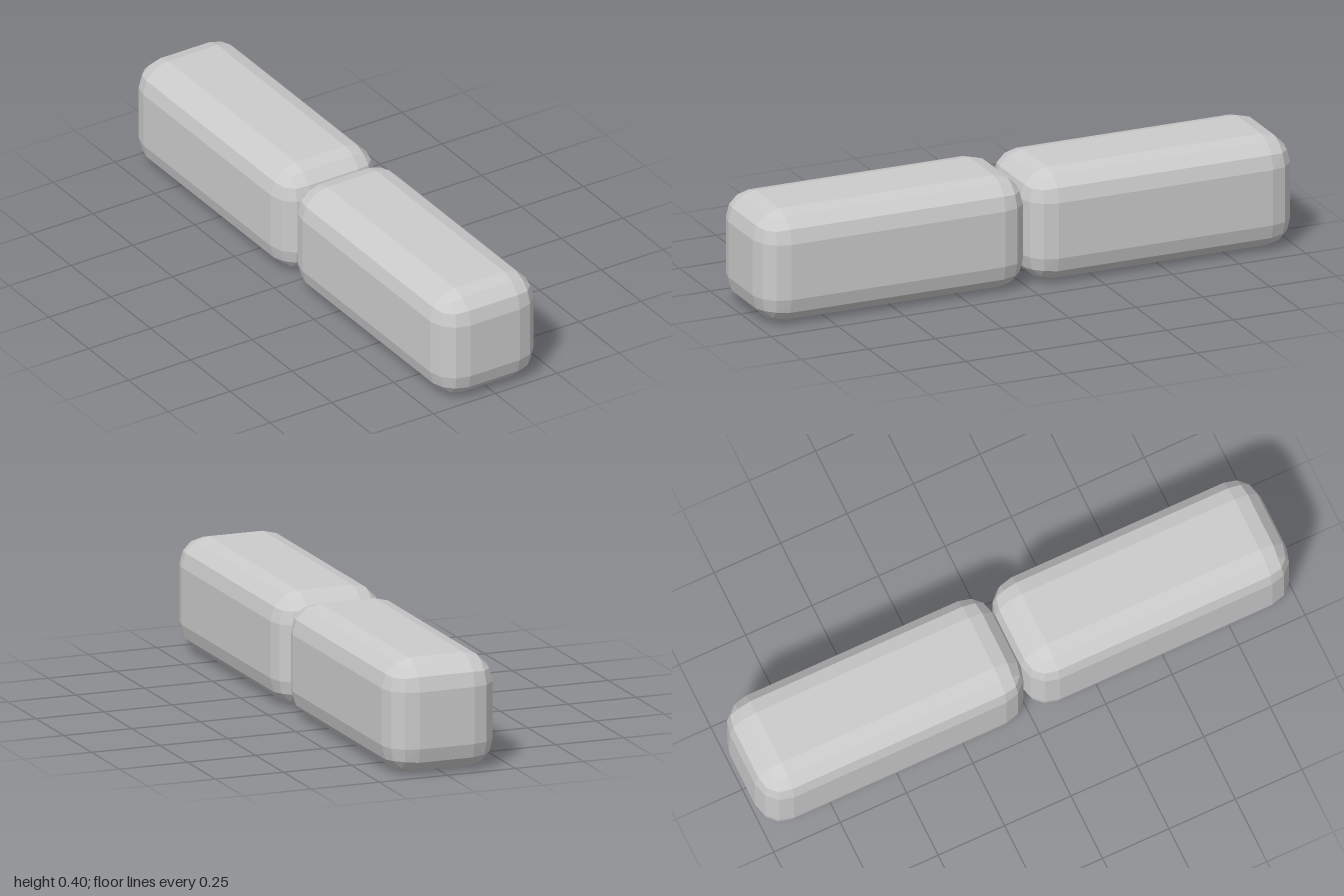
import * as THREE from 'three';
import { ConvexGeometry } from 'three/addons/geometries/ConvexGeometry.js';

const WIDTH = 0.4, HEIGHT = 0.4, LENGTH = 1, BEVEL = 0.1;

// Directions over one rounded corner: three-step arcs along its borders, plus an inner triangle
function cornerDirections() {
  const c = Math.cos(Math.PI / 6), a = 0.46, b = 0.76;
  const pattern = [[0, 0, 1], [0.5, 0, c], [c, 0, 0.5], [a, a, b]];
  const dirs = [];
  for (const [x, y, z] of pattern) {
    dirs.push([x, y, z], [z, x, y], [y, z, x]);
  }
  return dirs;
}

// Box with three-segment bevels, faceted
function bevelledBox(width, height, length, bevel) {
  const half = [width / 2 - bevel, height / 2 - bevel, length / 2 - bevel];
  const points = [];
  for (const sx of [-1, 1]) for (const sy of [-1, 1]) for (const sz of [-1, 1]) {
    for (const [x, y, z] of cornerDirections()) {
      points.push(new THREE.Vector3(
        sx * (half[0] + bevel * x),
        sy * (half[1] + bevel * y),
        sz * (half[2] + bevel * z)));
    }
  }
  return new ConvexGeometry(points);
}

export function createModel() {
  const model = new THREE.Group();
  model.name = 'blockPair';
  const material = new THREE.MeshStandardMaterial({ color: 0xcccccc, flatShading: true });
  const geometry = bevelledBox(WIDTH, HEIGHT, LENGTH, BEVEL);

  // Two equal blocks, end to end
  for (const [name, side] of [['frontBlock', 1], ['backBlock', -1]]) {
    const block = new THREE.Mesh(geometry, material);
    block.name = name;
    block.position.set(0, HEIGHT / 2, side * LENGTH / 2);
    model.add(block);
  }
  return model;
}
